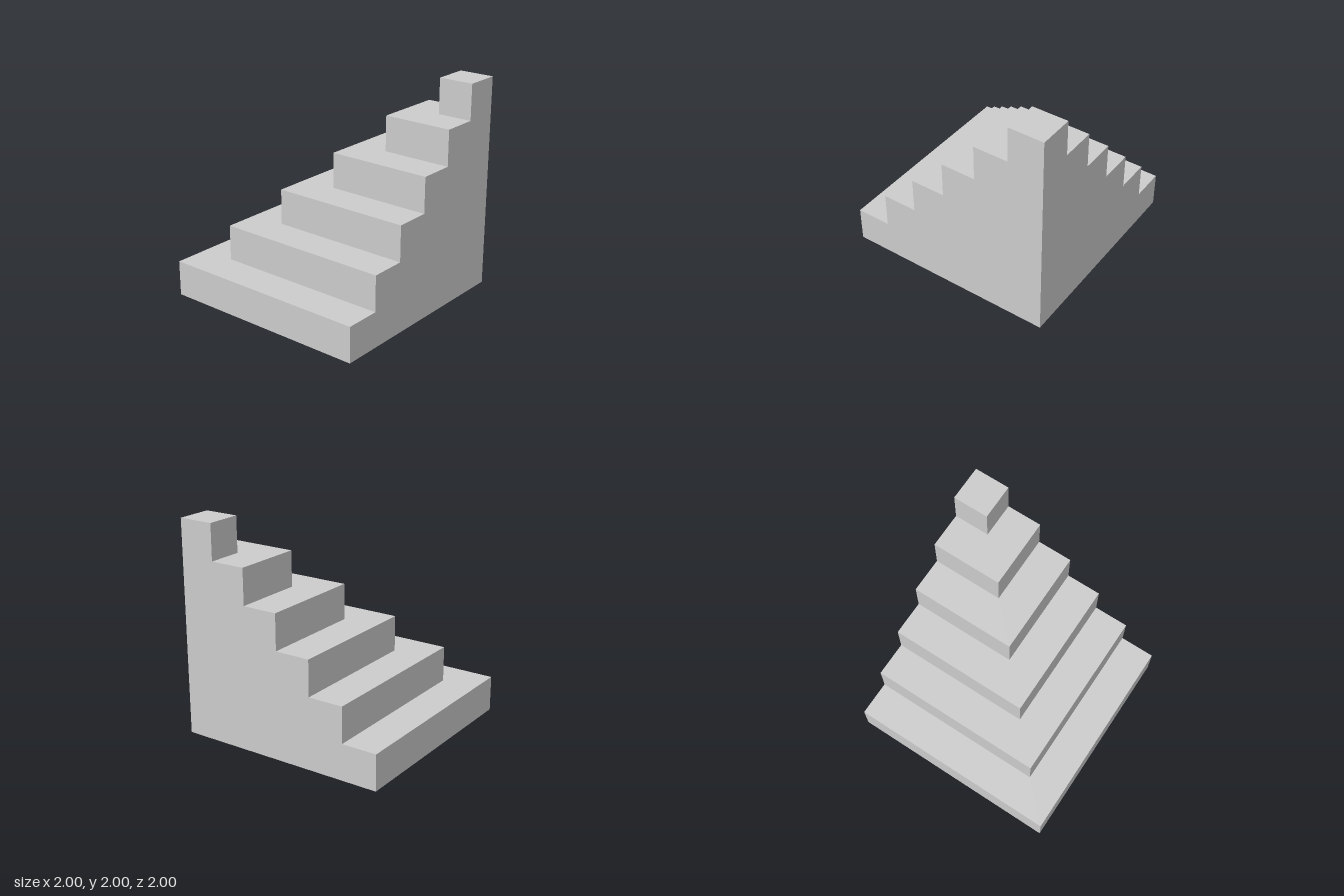
import * as THREE from 'three';

const STEPS = 6;
const SIZE = 2;

export function createModel() {
  const model = new THREE.Group();
  model.name = 'cornerStairs';
  const material = new THREE.MeshStandardMaterial({ color: 0xcccccc, flatShading: true });
  const rise = SIZE / STEPS;

  // Square slabs shrinking upward, all flush with the back left corner (+x, -z)
  for (let i = 0; i < STEPS; i++) {
    const width = SIZE - i * rise;
    const step = new THREE.Mesh(new THREE.BoxGeometry(width, rise, width), material);
    step.name = `step${i + 1}`;
    step.position.set((SIZE - width) / 2, (i + 0.5) * rise, (width - SIZE) / 2);
    model.add(step);
  }
  return model;
}
